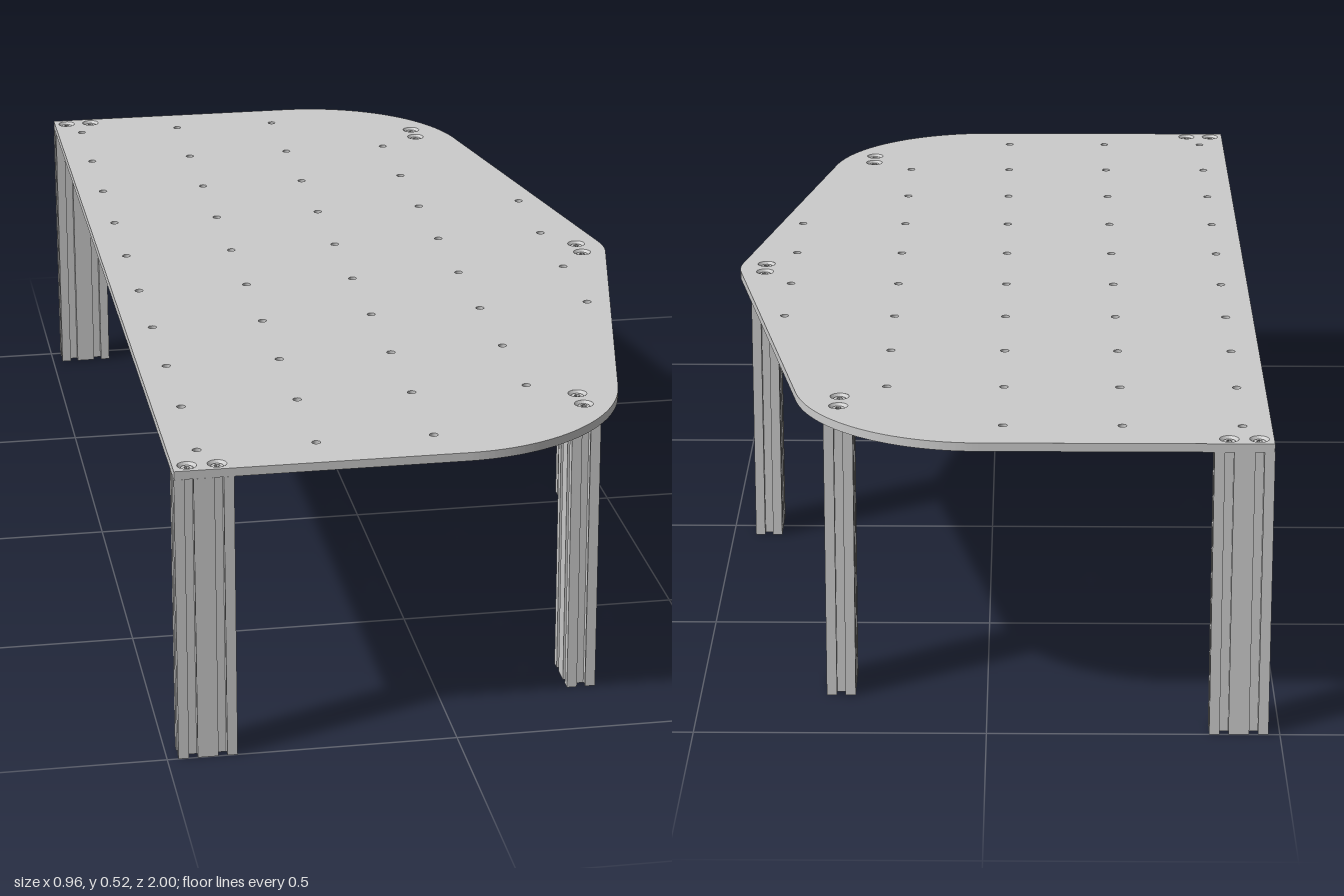
import * as THREE from 'three';

const TOP = 0.525, UNDER = 0.51;
const MM = 0.0505 / 20; // leg profile is drawn on a 20 x 40 grid
const material = new THREE.MeshStandardMaterial({ color: 0xcccccc });
const screwMaterial = new THREE.MeshStandardMaterial({ color: 0xcccccc, flatShading: true, side: THREE.DoubleSide });

// Legs: centre x, centre z, and whether the long side runs along z
const LEGS = [
  ['backLeg', -0.43, 0.975, false], ['backLeg', -0.43, -0.975, false],
  ['sideLeg', 0.255, 0.786, true], ['sideLeg', 0.255, -0.786, true],
  ['tipLeg', 0.432, 0, true],
];

function circle(x, y, r) {
  return new THREE.Path().absarc(x, y, r, 0, Math.PI * 2, true);
}

// Extrudes a plan shape upwards from height y
function extrudeUp(shape, y, height, curveSegments) {
  const geo = new THREE.ExtrudeGeometry(shape, { depth: height, bevelEnabled: false, curveSegments });
  return geo.rotateX(-Math.PI / 2).translate(0, y, 0);
}

// Screw positions of one leg, two along its long side
function screwSpots([, x, z, alongZ]) {
  return [-10 * MM, 10 * MM].map((d) => (alongZ ? [x, z + d] : [x + d, z]));
}

// Table plate: straight back edge, rounded ends, blunt point in front
function plateGeometry() {
  const a = 0.2, r = 0.325, cx = 0.014, tipR = 0.15;
  const shape = new THREE.Shape();
  shape.moveTo(-0.48, -1);
  shape.lineTo(cx, -1);
  shape.absarc(cx, -1 + r, r, -Math.PI / 2, -a, false);
  shape.absarc(0.33, 0, tipR, -a, a, false);
  shape.absarc(cx, 1 - r, r, a, Math.PI / 2, false);
  shape.lineTo(-0.48, 1);
  shape.closePath();

  // Grid of small drilled holes
  const columns = [[-0.43, 0.91], [-0.228, 0.91], [-0.027, 0.91], [0.176, 0.71], [0.378, 0.31]];
  for (const [x, reach] of columns) {
    for (const z of [0.101, 0.303, 0.505, 0.707, 0.91]) {
      if (z <= reach) for (const s of [-1, 1]) shape.holes.push(circle(x, s * z, 0.0075));
    }
  }
  // Screw holes
  for (const leg of LEGS) for (const [x, z] of screwSpots(leg)) shape.holes.push(circle(x, -z, 0.0165));
  return extrudeUp(shape, UNDER, TOP - UNDER, 24);
}

// Slotted double profile of a leg
function legGeometry() {
  const slot = [[-3, 0], [-3, 2], [-5.5, 2], [-5.5, 3], [-3, 6], [3, 6], [5.5, 3], [5.5, 2], [3, 2], [3, 0]];
  const points = [];
  const add = (x, y) => points.push(new THREE.Vector2(x * MM, y * MM));
  add(-20, -10);
  for (const c of [-10, 10]) slot.forEach(([u, d]) => add(c + u, -10 + d));
  add(20, -10);
  slot.forEach(([u, d]) => add(20 - d, u));
  add(20, 10);
  for (const c of [10, -10]) slot.forEach(([u, d]) => add(c - u, 10 - d));
  add(-20, 10);
  slot.forEach(([u, d]) => add(-20 + d, -u));
  const shape = new THREE.Shape(points);

  // Two bores and the hollow between them
  for (const c of [-10, 10]) shape.holes.push(circle(c * MM, 0, 2.1 * MM));
  const hollow = [[4, 3], [4, -3], [2, -7], [-2, -7], [-4, -3], [-4, 3], [-2, 7], [2, 7]];
  shape.holes.push(new THREE.Path(hollow.map(([x, y]) => new THREE.Vector2(x * MM, y * MM))));
  return extrudeUp(shape, 0, UNDER, 10);
}

// Sunken screw head with a hexagonal socket
function screwParts() {
  const head = [[0.0165, TOP], [0.0115, 0.518], [0.0105, 0.521], [0.005, 0.521]];
  const socket = [[0.005, 0.521], [0.005, 0.514], [0, 0.514]];
  const lathe = (pts, n) => new THREE.LatheGeometry(pts.map(([x, y]) => new THREE.Vector2(x, y)), n);
  return [['screwHead', lathe(head, 24)], ['screwSocket', lathe(socket, 6)]];
}

export function createModel() {
  const model = new THREE.Group();
  model.name = 'table';
  const addMesh = (name, geo, mat, x = 0, z = 0) => {
    const mesh = new THREE.Mesh(geo, mat);
    mesh.name = name;
    mesh.position.set(x, 0, z);
    model.add(mesh);
    return mesh;
  };

  addMesh('tableTop', plateGeometry(), material);
  const legGeo = legGeometry();
  const screws = screwParts();
  for (const leg of LEGS) {
    const [name, x, z, alongZ] = leg;
    addMesh(name, legGeo, material, x, z).rotation.y = alongZ ? Math.PI / 2 : 0;
    for (const [sx, sz] of screwSpots(leg)) {
      for (const [part, geo] of screws) addMesh(part, geo, screwMaterial, sx, sz);
    }
  }
  return model;
}
